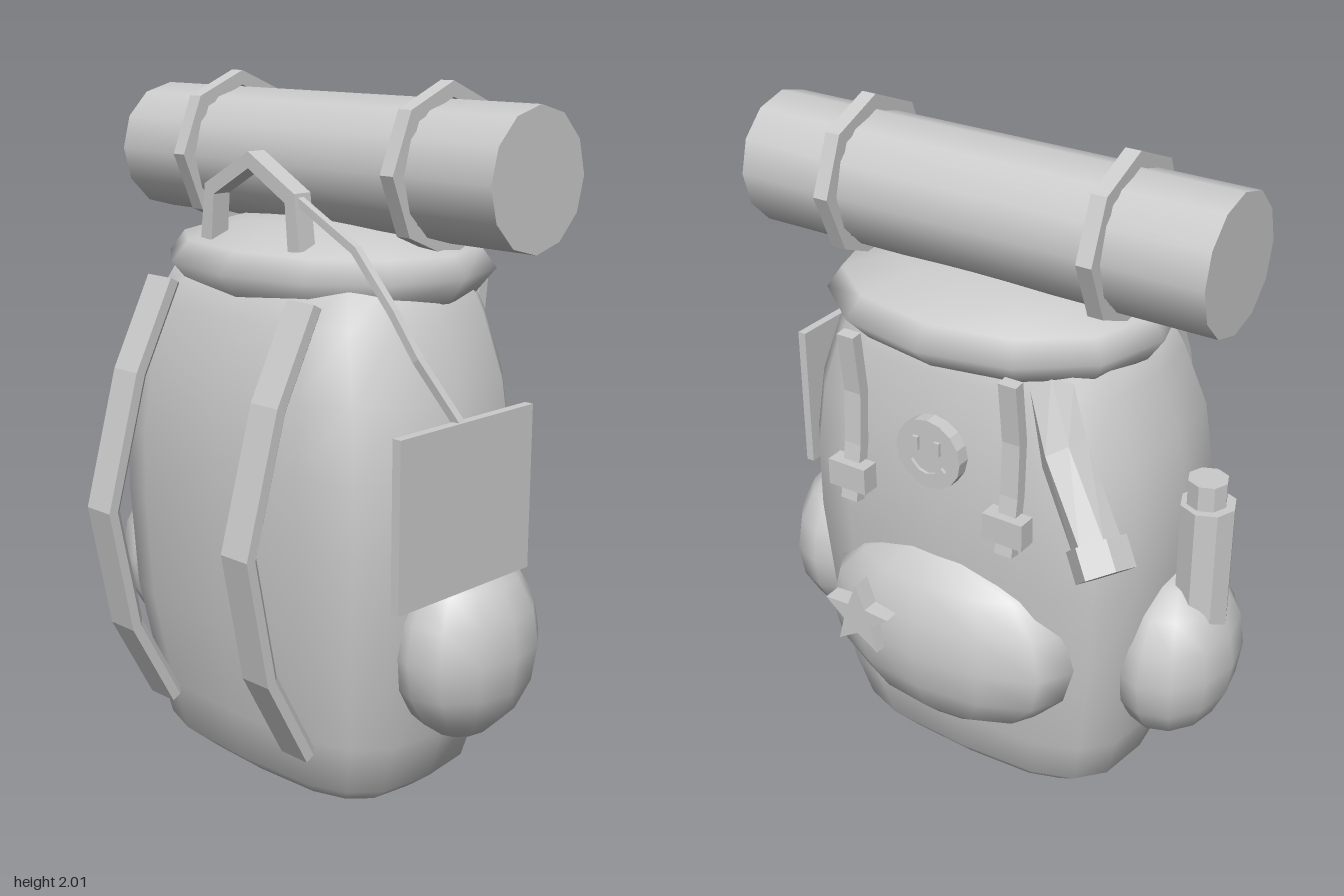
import * as THREE from 'three';

const material = new THREE.MeshStandardMaterial({ color: 0xcccccc });
const flat = new THREE.MeshStandardMaterial({ color: 0xcccccc, flatShading: true });
const V = (x, y, z) => new THREE.Vector3(x, y, z);

// Skin over a stack of equal-length loops, closed at both ends
function skin(rings) {
  const n = rings[0].length, last = (rings.length - 1) * n, index = [];
  for (let i = 0; i < rings.length - 1; i++) {
    for (let j = 0; j < n; j++) {
      const a = i * n + j, b = i * n + (j + 1) % n;
      index.push(a, a + n, b, b, a + n, b + n);
    }
  }
  for (let j = 1; j < n - 1; j++) index.push(0, j, j + 1, last, last + j + 1, last + j);
  const g = new THREE.BufferGeometry().setFromPoints(rings.flat());
  g.setIndex(index);
  g.computeVertexNormals();
  return g;
}

// Horizontal loop: half width, front and back depth, and roundness (1 = ellipse)
function loop(y, rx, front, back, sides, power) {
  const bend = (v) => Math.sign(v) * Math.abs(v) ** power;
  const mid = (front + back) / 2, rz = (front - back) / 2;
  return Array.from({ length: sides }, (_, j) => {
    const a = (j / sides) * Math.PI * 2;
    return V(rx * bend(Math.cos(a)), y, mid + rz * bend(Math.sin(a)));
  });
}

// Sweep a section (pairs along "side" and across it) over a bent path
function sweep(path, section, side) {
  return skin(path.map((p, i) => {
    const t = path[Math.min(i + 1, path.length - 1)].clone().sub(path[Math.max(i - 1, 0)]).normalize();
    const u = side.clone().addScaledVector(t, -side.dot(t)).normalize();
    const v = u.clone().cross(t);
    return section.map(([a, b]) => p.clone().addScaledVector(u, a).addScaledVector(v, b));
  })).toNonIndexed();
}
const rect = (w, h) => [[w / 2, -h / 2], [w / 2, h / 2], [-w / 2, h / 2], [-w / 2, -h / 2]];
const polygon = (r, n) => Array.from({ length: n }, (_, i) => {
  const a = (i / n) * Math.PI * 2;
  return [r * Math.cos(a), r * Math.sin(a)];
});

export function createModel() {
  const group = new THREE.Group();
  const add = (name, geometry, mat = flat, x = 0, y = 0, z = 0) => {
    if (mat === flat) geometry.computeVertexNormals();
    const mesh = new THREE.Mesh(geometry, mat);
    mesh.name = name;
    mesh.position.set(x, y, z);
    group.add(mesh);
    return mesh;
  };
  const ellipsoid = (rx, ry, rz) => new THREE.SphereGeometry(1, 12, 8).scale(rx, ry, rz);

  // Main bag: height, half width, front z, back z
  const bag = [
    [0, 0.38, 0.24, -0.22], [0.07, 0.47, 0.32, -0.28], [0.22, 0.51, 0.35, -0.32],
    [0.5, 0.555, 0.4, -0.36], [0.8, 0.58, 0.41, -0.38], [1.0, 0.575, 0.41, -0.385],
    [1.2, 0.545, 0.39, -0.37], [1.38, 0.48, 0.34, -0.34], [1.5, 0.42, 0.28, -0.3],
  ];
  add('bag', skin(bag.map((r) => loop(...r, 16, 0.62))), material);

  // Padded lid
  const lid = [
    [1.43, 0.38, 0.26, -0.3], [1.43, 0.46, 0.31, -0.38], [1.5, 0.51, 0.37, -0.45],
    [1.56, 0.47, 0.32, -0.4], [1.61, 0.3, 0.18, -0.26], [1.63, 0.04, 0, -0.08],
  ];
  add('lid', skin(lid.map((r) => loop(...r, 12, 0.95))), material);

  // Pockets
  for (const s of [-1, 1]) add('sidePocket', ellipsoid(0.18, 0.27, 0.24), material, s * 0.58, 0.51, 0.005);
  add('backPocket', ellipsoid(0.42, 0.3, 0.19), material, 0, 0.55, -0.315);

  // Bedroll with its two octagonal bands
  const roll = new THREE.CylinderGeometry(0.19, 0.19, 1.44, 12).rotateZ(Math.PI / 2);
  add('bedroll', roll, material, 0, 1.775, -0.07);
  const bandProfile = [[0.19, -0.023], [0.232, -0.023], [0.232, 0.023], [0.19, 0.023], [0.19, -0.023]]
    .map(([x, y]) => new THREE.Vector2(x, y));
  for (const s of [-1, 1]) {
    const band = new THREE.LatheGeometry(bandProfile, 8).rotateZ(Math.PI / 2).toNonIndexed();
    add('bedrollBand', band, flat, s * 0.41, 1.78, -0.07);
  }

  // Shoulder straps on the front, chamfered outwards
  const strapSection = [[0.05, -0.025], [0.05, 0.005], [0.028, 0.028], [-0.028, 0.028], [-0.05, 0.005], [-0.05, -0.025]];
  const strapPath = [[1.45, 0.325], [1.2, 0.455], [0.82, 0.565], [0.46, 0.495], [0.2, 0.355]];
  for (const s of [-1, 1]) {
    const path = strapPath.map(([y, z]) => V(s * 0.285, y, z)).reverse();
    add('shoulderStrap', sweep(path, strapSection, V(-1, 0, 0)));
  }

  // Carrying handle
  const handle = [[-0.175, 1.57], [-0.16, 1.71], [0, 1.8], [0.16, 1.71], [0.175, 1.57]];
  add('handle', sweep(handle.map(([x, y]) => V(x, y, 0.235)), rect(0.06, 0.045), V(0, 0, 1)));

  // Hanging tag and its cord
  const cord = [V(0.16, 1.71, 0.24), V(0.4, 1.6, 0.26), V(0.54, 1.46, 0.27), V(0.62, 1.35, 0.265), V(0.72, 1.19, 0.215)];
  add('tagCord', sweep(cord, rect(0.022, 0.022), V(0, 0, 1)));
  add('tag', new THREE.BoxGeometry(0.026, 0.45, 0.51), flat, 0.72, 0.975, 0.195);

  // Lid straps with buckles on the back
  for (const s of [-1, 1]) {
    const path = [V(s * 0.26, 1.46, -0.395), V(s * 0.26, 1.28, -0.375), V(s * 0.26, 1.12, -0.385), V(s * 0.26, 0.95, -0.415)];
    add('lidStrap', sweep(path, rect(0.055, 0.035), V(1, 0, 0)));
    add('buckle', new THREE.BoxGeometry(0.125, 0.08, 0.055), flat, s * 0.26, 1.03, -0.41);
  }

  // Round badge with a smiling face
  const badge = new THREE.CylinderGeometry(0.105, 0.105, 0.04, 16).rotateX(Math.PI / 2).toNonIndexed();
  add('badge', badge, flat, 0, 1.17, -0.385);
  for (const s of [-1, 1]) add('badgeEye', new THREE.BoxGeometry(0.018, 0.04, 0.014), flat, s * 0.035, 1.2, -0.408);
  const smile = [[-0.055, 1.14], [-0.03, 1.115], [0, 1.107], [0.03, 1.115], [0.055, 1.14]];
  add('badgeSmile', sweep(smile.map(([x, y]) => V(x, y, -0.408)), rect(0.014, 0.016), V(0, 0, 1)));

  // Star on the back pocket
  const star = new THREE.Shape(Array.from({ length: 10 }, (_, i) => {
    const a = Math.PI / 2 + (i * Math.PI) / 5, r = i % 2 ? 0.05 : 0.115;
    return new THREE.Vector2(r * Math.cos(a), r * Math.sin(a));
  }));
  add('star', new THREE.ExtrudeGeometry(star, { depth: 0.055, bevelEnabled: false }), flat, 0.18, 0.625, -0.525);

  // Bent torch sticking out behind, with a wider head
  const torch = [V(-0.33, 1.4, -0.3), V(-0.46, 1.33, -0.45), V(-0.6, 1.16, -0.525)];
  add('torchBody', sweep(torch, polygon(0.065, 6), V(0, 0, 1)));
  add('torchHead', sweep([V(-0.595, 1.165, -0.52), V(-0.642, 1.1, -0.548)], polygon(0.08, 6), V(0, 0, 1)));

  // Bottle in the side pocket
  add('bottle', new THREE.CylinderGeometry(0.08, 0.08, 0.6, 8).toNonIndexed(), flat, -0.65, 0.73, 0);
  add('bottleCap', new THREE.CylinderGeometry(0.058, 0.058, 0.08, 8).toNonIndexed(), flat, -0.645, 1.065, 0);

  return group;
}
